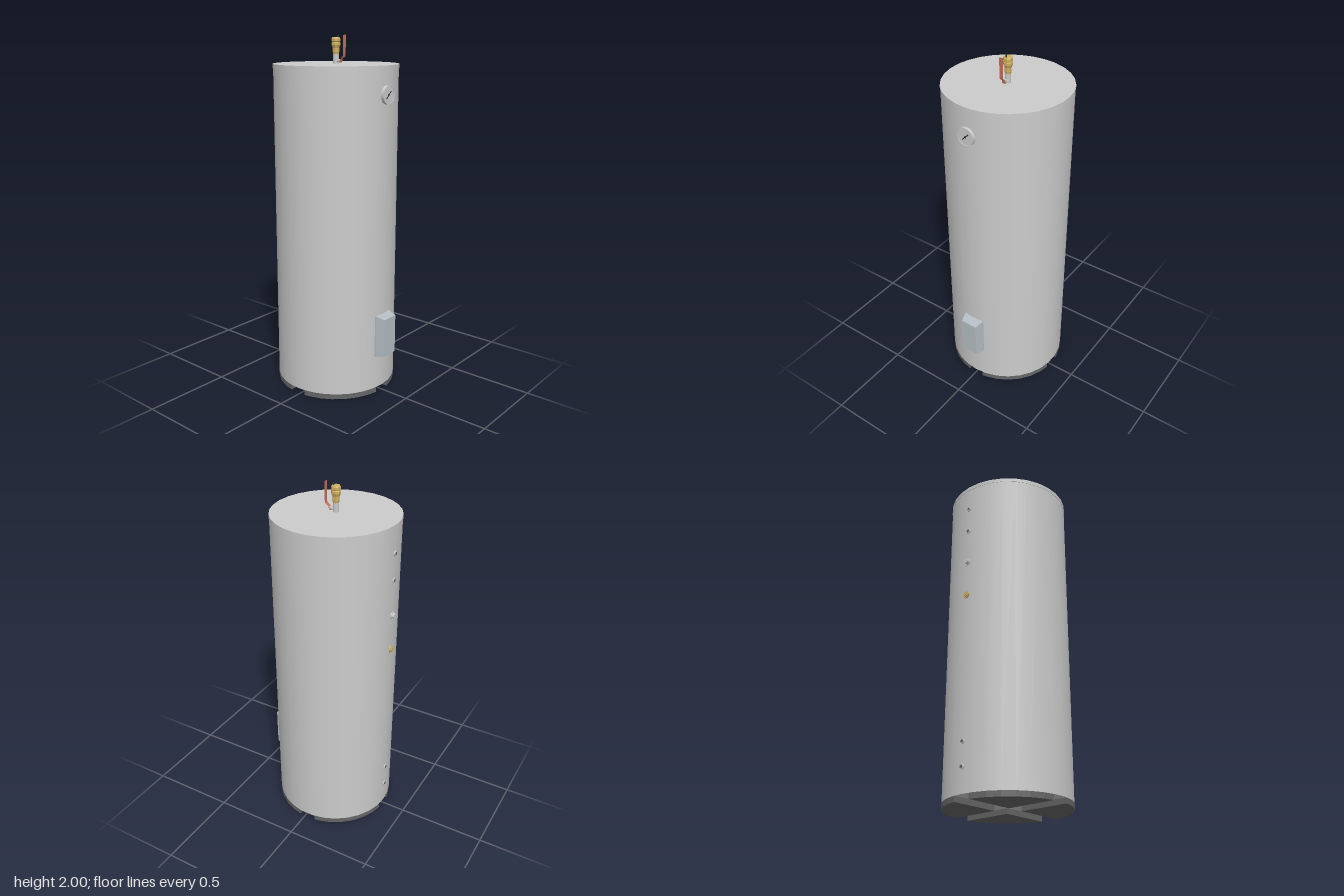
import * as THREE from 'three';

const CX = -0.018; // tank axis
const R = 0.345;
const SIDES = 30;

const mat = (color = 0xcccccc, extra = {}) => new THREE.MeshStandardMaterial({ color, ...extra });
const grey = mat();
const dark = mat(0x666666);
const brass = mat(0xd0b060, { flatShading: true });
const red = mat(0xc8705c);
const panel = mat(0xb4bec4, { flatShading: true });
const white = mat(0xf0f0f0);
const black = mat(0x333333);

export function createModel() {
  const model = new THREE.Group();

  const add = (name, geo, material, x = 0, y = 0, z = 0) => {
    const mesh = new THREE.Mesh(geo, material);
    mesh.name = name;
    mesh.position.set(x, y, z);
    model.add(mesh);
    return mesh;
  };
  // upright cylinder between two heights, on the tank axis
  const upright = (name, r0, r1, y0, y1, sides, material) =>
    add(name, new THREE.CylinderGeometry(r1, r0, y1 - y0, sides, 1, false, Math.PI / 2), material, CX, (y0 + y1) / 2);
  // cylinder lying along x between two x positions
  const along = (name, r, x0, x1, y, sides, material) =>
    add(name, new THREE.CylinderGeometry(r, r, x1 - x0, sides).rotateZ(-Math.PI / 2), material, (x0 + x1) / 2, y);

  // Tank shell and lid
  upright('tankBody', R, R, 0.03, 1.835, SIDES, grey);
  upright('lid', R + 0.002, R + 0.002, 1.825, 1.847, SIDES, grey);

  // Four foot segments separated by a cross-shaped channel
  const h = 0.05;
  const a0 = Math.asin(h / R);
  const angles = [a0];
  for (let d = 12; d < 80; d += 12) angles.push(THREE.MathUtils.degToRad(d));
  angles.push(Math.PI / 2 - a0);
  const sector = new THREE.Shape([
    new THREE.Vector2(h, h),
    ...angles.map((a) => new THREE.Vector2(R * Math.cos(a), R * Math.sin(a))),
  ]);
  const footGeo = new THREE.ExtrudeGeometry(sector, { depth: 0.03, bevelEnabled: false }).rotateX(-Math.PI / 2);
  for (let i = 0; i < 4; i++) add('foot' + (i + 1), footGeo, dark, CX).rotation.y = (i * Math.PI) / 2;

  // Temperature gauge with raised bezel
  along('gaugeStem', 0.04, 0.31, 0.332, 1.695, 24, grey);
  const bezel = [[0, 0], [0.05, 0], [0.05, 0.017], [0.046, 0.017], [0.046, 0.013], [0, 0.013]]
    .map(([r, y]) => new THREE.Vector2(r, y));
  add('gaugeBezel', new THREE.LatheGeometry(bezel, 24).rotateZ(-Math.PI / 2),
    mat(0xcccccc, { flatShading: true }), 0.33, 1.695);
  along('gaugeDial', 0.046, 0.342, 0.344, 1.695, 24, white);
  along('needleHub', 0.006, 0.343, 0.3455, 1.695, 10, black);
  add('gaugeNeedle', new THREE.BoxGeometry(0.002, 0.055, 0.005), black, 0.3445, 1.695).rotation.x = -Math.PI / 4;

  // Tapered access cover: outer face smaller than the back
  const coverGeo = new THREE.BoxGeometry(0.054, 0.245, 0.126).toNonIndexed();
  const p = coverGeo.attributes.position;
  for (let i = 0; i < p.count; i++) {
    if (p.getX(i) > 0) p.setXYZ(i, p.getX(i), p.getY(i) * 0.9, p.getZ(i) * 0.8);
  }
  coverGeo.computeVertexNormals();
  add('accessCover', coverGeo, panel, 0.352, 0.3475);
  add('accessCoverBack', new THREE.BoxGeometry(0.03, 0.245, 0.126), panel, 0.311, 0.3475);

  // Ports down the opposite side
  for (const y of [1.69, 1.54, 0.295, 0.165]) {
    along('port', 0.015, -0.368, -0.34, y, 12, grey);
    along('portPlug', 0.009, -0.3695, -0.36, y, 12, dark);
  }
  along('pipeFlange', 0.02, -0.368, -0.34, 1.335, 16, grey);
  along('pipeStub', 0.015, -0.38, -0.34, 1.335, 16, grey);
  along('brassNut', 0.02, -0.37, -0.34, 1.125, 8, brass);
  along('brassStub', 0.012, -0.374, -0.34, 1.125, 12, brass);

  // Riser pipe and brass vent on the lid
  upright('riser', 0.016, 0.016, 1.845, 1.9, 12, grey);
  const vent = [[0, 1.895], [0.016, 1.895], [0.019, 1.91], [0.019, 1.93], [0.022, 1.938], [0.025, 1.945],
    [0.025, 1.958], [0.022, 1.962], [0.025, 1.966], [0.025, 1.98], [0.021, 1.987], [0, 1.987]]
    .map(([r, y]) => new THREE.Vector2(r, y));
  add('brassVent', new THREE.LatheGeometry(vent, 8, Math.PI / 8), brass, CX);
  const pin = add('ventPin', new THREE.CylinderGeometry(0.005, 0.005, 0.02, 4), black, -0.004, 1.99);
  pin.material.flatShading = true;

  // Shut-off stem with bent red lever
  along('valveStem', 0.008, -0.01, 0.014, 1.862, 10, grey);
  along('valveNut', 0.011, 0.008, 0.016, 1.862, 6, grey);
  const bend = [[0.016, 1.853], [0.018, 1.87], [0.039, 1.888], [0.041, 1.9], [0.041, 2.0]];
  const strip = new THREE.Shape([
    ...bend.map(([x, y]) => new THREE.Vector2(x, y)).reverse(),
    ...bend.map(([x, y], i) => new THREE.Vector2(x + 0.002, y - (i === 2 ? 0.002 : 0))),
  ]);
  add('lever', new THREE.ExtrudeGeometry(strip, { depth: 0.02, bevelEnabled: false }), red, 0, 0, -0.01);

  return model;
}
